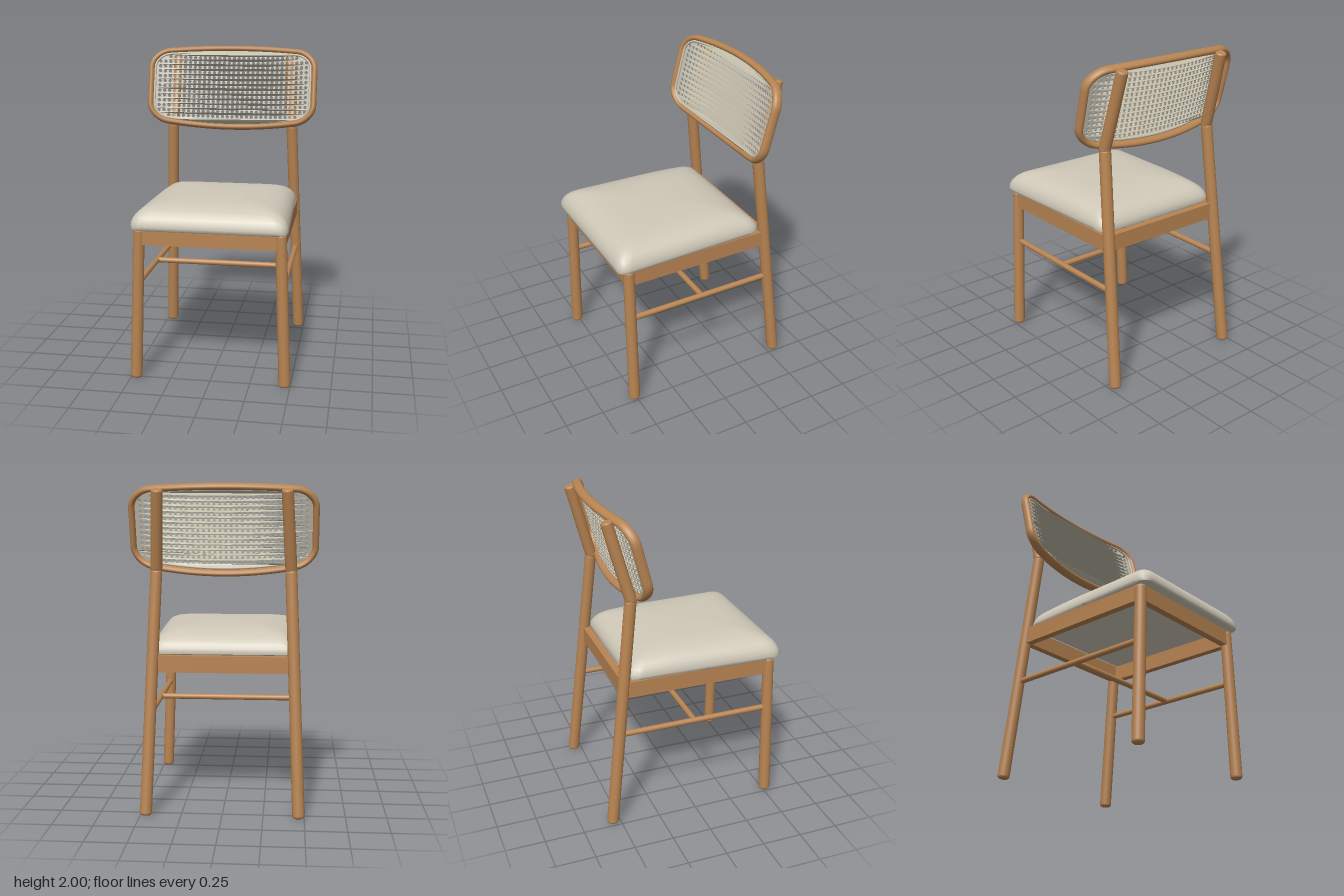
import * as THREE from 'three';
import { toCreasedNormals } from 'three/addons/utils/BufferGeometryUtils.js';

const wood = new THREE.MeshStandardMaterial({ name: 'wood', color: 0xb88452 });
const fabric = new THREE.MeshStandardMaterial({ name: 'fabric', color: 0xcfc8b8 });
const cane = new THREE.MeshStandardMaterial({ name: 'cane', color: 0xc4beac });

const V = (x, y, z) => new THREE.Vector3(x, y, z);

function add(group, name, geometry, material) {
  const mesh = new THREE.Mesh(geometry, material);
  mesh.name = name;
  group.add(mesh);
  return mesh;
}

// Round bar from a to b with softly rounded ends
function rod(a, b, ra, rb = ra, round = 0.02) {
  const len = a.distanceTo(b);
  const profile = [];
  for (let i = 0; i <= 5; i++) {
    const t = (i / 5) * Math.PI / 2;
    profile.push(new THREE.Vector2(ra - round + round * Math.sin(t), round - round * Math.cos(t)));
  }
  for (let i = 0; i <= 5; i++) {
    const t = (i / 5) * Math.PI / 2;
    profile.push(new THREE.Vector2(rb - round + round * Math.cos(t), len - round + round * Math.sin(t)));
  }
  profile.unshift(new THREE.Vector2(0, 0));
  profile.push(new THREE.Vector2(0, len));
  const g = new THREE.LatheGeometry(profile, 24);
  const dir = b.clone().sub(a).normalize();
  g.applyQuaternion(new THREE.Quaternion().setFromUnitVectors(V(0, 1, 0), dir));
  return g.translate(a.x, a.y, a.z);
}

// Flat rail between two points at the same height
function rail(a, b, height, thick) {
  const g = new THREE.BoxGeometry(thick, height, a.distanceTo(b));
  g.rotateY(Math.atan2(b.x - a.x, b.z - a.z));
  return g.translate((a.x + b.x) / 2, (a.y + b.y) / 2, (a.z + b.z) / 2);
}

// Evenly spaced points around a rounded rectangle, counter-clockwise
function outline(hx, hy, r, n) {
  const s = new THREE.Shape();
  s.moveTo(hx, -hy + r);
  s.absarc(hx - r, hy - r, r, 0, Math.PI / 2);
  s.absarc(-hx + r, hy - r, r, Math.PI / 2, Math.PI);
  s.absarc(-hx + r, -hy + r, r, Math.PI, Math.PI * 1.5);
  s.absarc(hx - r, -hy + r, r, Math.PI * 1.5, Math.PI * 2);
  s.closePath();
  return s.getSpacedPoints(n).slice(0, n);
}

// Skin over a grid of points f(i, j), closed in i and optionally in j
function skin(n, m, f, closed) {
  const pos = [], index = [];
  for (let j = 0; j < m; j++) for (let i = 0; i < n; i++) pos.push(...f(i, j).toArray());
  for (let j = 0; j < (closed ? m : m - 1); j++) {
    for (let i = 0; i < n; i++) {
      const k = (i + 1) % n, l = (j + 1) % m;
      const a = j * n + i, b = j * n + k, c = l * n + k, d = l * n + i;
      index.push(a, b, d, b, c, d);
    }
  }
  const g = new THREE.BufferGeometry();
  g.setAttribute('position', new THREE.Float32BufferAttribute(pos, 3));
  g.setIndex(index);
  g.computeVertexNormals();
  return g;
}

// Backrest shape: edges bow outward in the middle, and the ends curve forward
const HU = 0.55, HV = 0.265, CORNER = 0.12;
const bow = (u) => 1 - 0.11 * (u / 0.45) ** 2;
const bend = (u) => 0.075 * (u / 0.55) ** 2;

function backLoop(inset, n) {
  return outline(HU - inset, HV - inset, CORNER - inset, n)
    .map((p) => new THREE.Vector2(p.x, p.y * bow(p.x)));
}

// Oval section swept round the backrest loop
function hoop(inset, halfWidth, halfDepth, offset) {
  const n = 160, m = 16, loop = backLoop(inset, n);
  return skin(n, m, (i, j) => {
    const p = loop[i];
    const t = loop[(i + 1) % n].clone().sub(loop[(i + n - 1) % n]).normalize();
    const a = (j / m) * Math.PI * 2, c = Math.cos(a) * halfWidth;
    return V(p.x + t.y * c, p.y - t.x * c, bend(p.x) + offset + Math.sin(a) * halfDepth);
  }, true);
}

// Thin woven panel with a grid of round openings
function canePanel() {
  const shape = new THREE.Shape(backLoop(0.012, 120));
  const pitch = 0.033;
  for (let i = -16; i <= 16; i++) {
    for (let j = -8; j <= 8; j++) {
      const u = i * pitch, v = j * pitch;
      const qx = Math.abs(u) - (HU - CORNER), qy = Math.abs(v / bow(u)) - (HV - CORNER);
      const d = Math.hypot(Math.max(qx, 0), Math.max(qy, 0)) + Math.min(Math.max(qx, qy), 0) - CORNER;
      if (d > -0.04) continue;
      const hole = new THREE.Path();
      hole.absarc(u, v, 0.0115, 0, Math.PI * 2, true);
      shape.holes.push(hole);
    }
  }
  const g = new THREE.ExtrudeGeometry(shape, { depth: 0.006, bevelEnabled: false, curveSegments: 5 });
  const p = g.attributes.position;
  for (let i = 0; i < p.count; i++) p.setZ(i, p.getZ(i) + bend(p.getX(i)));
  g.computeVertexNormals();
  return g;
}

// Crowned cushion: rings inset by [distance, height], narrowing to the back
function cushion() {
  const rings = [[0.48, 0.97], [0.25, 0.97], [0.012, 0.97], [0.002, 0.977], [0, 0.995], [0.005, 1.02],
    [0.017, 1.046], [0.037, 1.07], [0.065, 1.09], [0.105, 1.105], [0.16, 1.116], [0.24, 1.123],
    [0.34, 1.127], [0.48, 1.13]];
  const n = 120, base = outline(0.48, 0.5, 0.06, n);
  const g = skin(n, rings.length, (i, j) => {
    const [d, h] = rings[j], p = base[i];
    const z = 0.09 - p.y * (1 - d / 0.5);
    const x = p.x * (1 - d / 0.48) * (0.925 + 0.075 * (z + 0.41));
    const sag = 0.03 * (Math.max(0, -z) / 0.41) ** 2 * Math.max(0, (h - 0.97) / 0.16);
    return V(x, h - sag, z);
  }, false);
  return toCreasedNormals(g, 0.9);
}

export function createModel() {
  const chair = new THREE.Group();
  chair.name = 'chair';

  // Legs, side rails and side stretchers, mirrored
  for (const [s, side] of [[1, 'left'], [-1, 'right']]) {
    add(chair, side + 'FrontLeg', rod(V(s * 0.467, 0, 0.512), V(s * 0.431, 0.972, 0.512), 0.037, 0.035), wood);
    const bendPoint = V(s * 0.406, 1.49, -0.385);
    add(chair, side + 'BackLeg', rod(V(s * 0.465, 0, -0.552), bendPoint, 0.037, 0.036, 0.02), wood);
    const knee = add(chair, side + 'BackLegBend', new THREE.SphereGeometry(0.036, 24, 16), wood);
    knee.position.copy(bendPoint);
    add(chair, side + 'BackLegTop', rod(bendPoint, V(s * 0.38, 1.965, -0.512), 0.036, 0.035, 0.012), wood);
    add(chair, side + 'SeatRail', rail(V(s * 0.433, 0.921, 0.512), V(s * 0.428, 0.921, -0.44), 0.102, 0.045), wood);
    add(chair, side + 'Stretcher', rod(V(s * 0.444, 0.62, 0.512), V(s * 0.44, 0.62, -0.48), 0.018, 0.018, 0.005), wood);
  }

  // Front and back rails, cross stretcher
  add(chair, 'frontSeatRail', rail(V(-0.43, 0.921, 0.512), V(0.43, 0.921, 0.512), 0.102, 0.045), wood);
  add(chair, 'backSeatRail', rail(V(-0.428, 0.921, -0.435), V(0.428, 0.921, -0.435), 0.102, 0.045), wood);
  add(chair, 'crossStretcher', rod(V(-0.442, 0.62, 0.01), V(0.442, 0.62, 0.01), 0.018, 0.018, 0.005), wood);

  add(chair, 'seatCushion', cushion(), fabric);

  // Tilted backrest
  const back = new THREE.Group();
  back.name = 'backrest';
  add(back, 'backFrame', hoop(0, 0.02, 0.031, 0), wood);
  add(back, 'backPiping', hoop(0.025, 0.008, 0.008, 0.014), cane);
  add(back, 'canePanel', canePanel(), cane);
  back.position.set(0, 1.725, -0.435);
  back.rotation.x = -0.25;
  chair.add(back);

  return chair;
}
